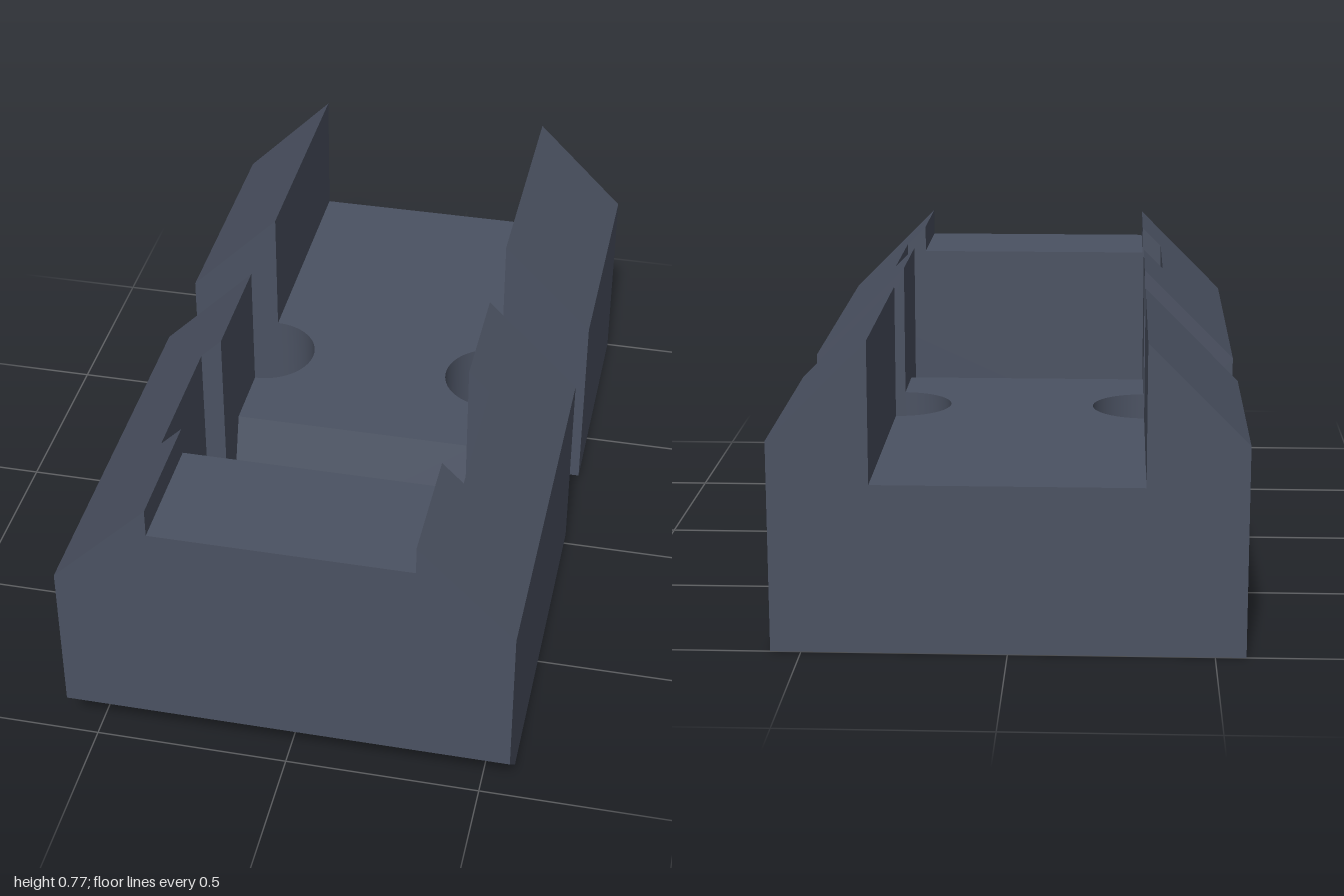
import * as THREE from 'three';
import { toCreasedNormals } from 'three/addons/utils/BufferGeometryUtils.js';

const W = 0.575, SHOULDER = 0.525, INNER = 0.33, TOP = 0.77, FLOOR = 0.42;
const POCKET_X = 0.385, POCKET_BACK = 0.285, POCKET_FRONT = 0.67;
const SLOT_BACK = -0.315, SLOT_FRONT = -0.04;

const shapeOf = (points) => new THREE.Shape(points.map(([x, y]) => new THREE.Vector2(x, y)));

// Extrudes an x-y profile from z0 to z1
function slab(points, z0, z1) {
  const g = new THREE.ExtrudeGeometry(shapeOf(points), { depth: z1 - z0, bevelEnabled: false });
  return g.translate(0, 0, z0);
}

// Moves vertices by a rule y = f(x, y, z)
function reshape(g, rule) {
  const p = g.attributes.position;
  for (let i = 0; i < p.count; i++) p.setY(i, rule(p.getX(i), p.getY(i), p.getZ(i)));
  g.computeVertexNormals();
  return g;
}

// Full-width block with chamfered shoulders and a channel down to floorY
const blockProfile = (floorY) => [
  [-W, 0], [W, 0], [W, SHOULDER], [INNER, TOP], [INNER, floorY],
  [-INNER, floorY], [-INNER, TOP], [-W, SHOULDER],
];

export function createModel() {
  const group = new THREE.Group();
  const slate = new THREE.MeshStandardMaterial({ color: 0x4b5262 });
  slate.name = 'slate';
  const add = (name, geometry) => {
    const mesh = new THREE.Mesh(geometry, slate);
    mesh.name = name;
    group.add(mesh);
  };

  // Rear block with deep channel
  add('rearBlock', slab(blockProfile(FLOOR), -1, SLOT_BACK));

  // Waist between the two round-ended side slots
  const r = (SLOT_FRONT - SLOT_BACK) / 2, mid = (SLOT_FRONT + SLOT_BACK) / 2;
  const arc = (side) => Array.from({ length: 33 }, (_, i) => {
    const a = (i / 32) * Math.PI;
    return [side * (INNER - r * Math.sin(a)), -mid + side * r * -Math.cos(a)];
  });
  const waist = new THREE.ExtrudeGeometry(shapeOf([...arc(1), ...arc(-1)]), { depth: FLOOR, bevelEnabled: false });
  waist.rotateX(-Math.PI / 2);
  add('waist', toCreasedNormals(waist, 0.5));

  // Centre tongue with a sloping front face
  const tongue = new THREE.ExtrudeGeometry(
    shapeOf([[-SLOT_FRONT, 0], [-SLOT_FRONT, FLOOR], [-0.145, FLOOR], [-POCKET_BACK, 0]].map(([z, y]) => [z, y])),
    { depth: INNER * 2, bevelEnabled: false });
  tongue.translate(0, 0, -INNER).rotateY(Math.PI / 2);
  // profile x runs along -z after the turn
  add('centreTongue', tongue);

  // Side rails, undercut from the outer bottom edge
  const undercut = (x, y, z) => {
    if (y > 0.001) return y;
    const k = 1 - 0.41 * (z - SLOT_FRONT) / (POCKET_FRONT - SLOT_FRONT);
    return (W - Math.abs(x)) * k;
  };
  for (const [side, label] of [[1, 'left'], [-1, 'right']]) {
    for (const [part, inner, z0, z1] of [
      ['RailRear', INNER, SLOT_FRONT, POCKET_BACK],
      ['RailFront', POCKET_X, POCKET_BACK, POCKET_FRONT],
    ]) {
      const top = SHOULDER + W - inner;
      const profile = [[W, 0], [W, SHOULDER], [inner, top], [inner, 0]].map(([x, y]) => [x * side, y]);
      add(label + part, reshape(slab(profile, z0, z1), undercut));
    }
  }

  // Front block with shallow channel, chamfered under its nose
  const front = blockProfile(0.695);
  add('frontBlock', slab(front, POCKET_FRONT, 0.89));
  add('frontNose', reshape(slab(front, 0.89, 1), (x, y, z) => (z > 0.99 && y < 0.001 ? 0.11 : y)));

  return group;
}
